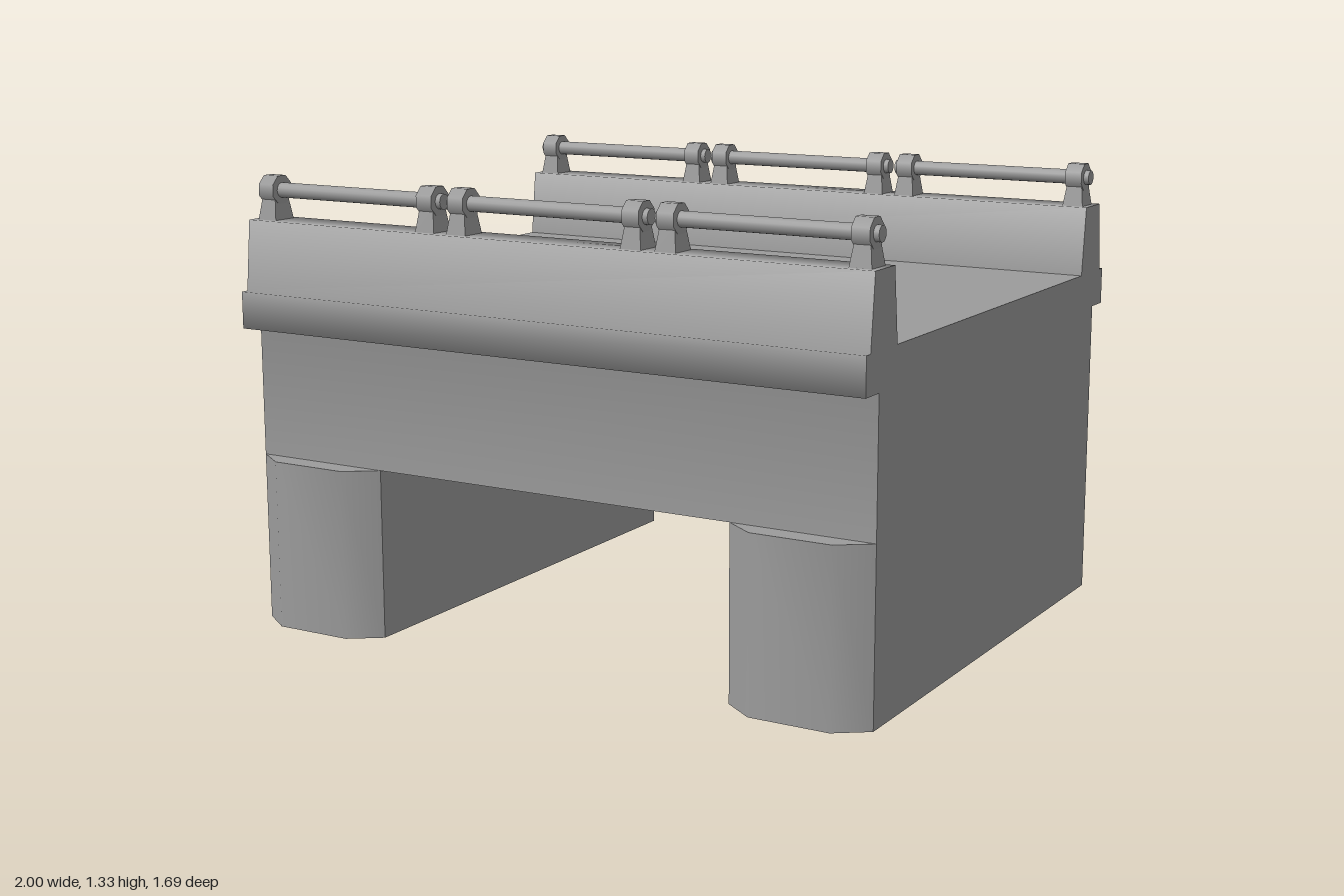
import * as THREE from 'three';
import { toCreasedNormals } from 'three/addons/utils/BufferGeometryUtils.js';

const stone = new THREE.MeshStandardMaterial({ color: 0x9b9b9b });

// Half section from the deck, over the parapet and cornice, down the wall: [z, y]
const section = [
  [0.662, 1], [0.685, 1.205], [0.80, 1.205], [0.82, 1],
  [0.844, 1], [0.844, 0.892], [0.767, 0.892], [0.767, 0.502],
];

function addMesh(parent, name, geometry) {
  const mesh = new THREE.Mesh(geometry, stone);
  mesh.name = name;
  parent.add(mesh);
  return mesh;
}

const toShape = (points) => new THREE.Shape(points.map(([x, y]) => new THREE.Vector2(x, y)));

// Long face of parapet, cornice and wall, with normals flowing around its mouldings
function makeFacing() {
  const last = section.length - 1;
  const geometry = new THREE.PlaneGeometry(2, 1, 1, last);
  const { position, normal } = geometry.attributes;
  section.forEach(([z, y], row) => {
    const [z0, y0] = section[Math.max(row - 1, 0)];
    const [z1, y1] = section[Math.min(row + 1, last)];
    const n = new THREE.Vector3(0, z1 - z0, y0 - y1).normalize();
    for (const i of [row * 2, row * 2 + 1]) {
      position.setXYZ(i, position.getX(i), y, z);
      normal.setXYZ(i, n.x, n.y, n.z);
    }
  });
  return geometry;
}

function addSpan(model) {
  const span = new THREE.Group();
  span.name = 'span';
  model.add(span);

  const facing = makeFacing();
  const outline = [...section, ...section.map(([z, y]) => [-z, y]).reverse()];
  const end = new THREE.ShapeGeometry(toShape(outline));
  for (const turn of [0, Math.PI]) {
    addMesh(span, 'parapetAndWall', facing).rotation.y = turn;
    const endWall = addMesh(span, 'endWall', end);
    endWall.rotation.y = turn + Math.PI / 2;
    endWall.position.x = turn ? -1 : 1;
  }

  const deck = addMesh(span, 'deck', new THREE.PlaneGeometry(2, 1.324));
  deck.rotation.x = -Math.PI / 2;
  deck.position.y = 1;

  const underside = addMesh(span, 'underside', new THREE.PlaneGeometry(2, 1.534));
  underside.rotation.x = Math.PI / 2;
  underside.position.y = 0.502;
}

// Pier with chamfered, softly shaded ends, extruded upwards
function makePier() {
  const end = [[0.213, 0.767], [0.12, 0.833], [-0.12, 0.833], [-0.213, 0.767]];
  const outline = [...end, ...end.map(([x, z]) => [-x, -z])];
  const geometry = new THREE.ExtrudeGeometry(toShape(outline), { depth: 0.502, bevelEnabled: false });
  geometry.rotateX(-Math.PI / 2);
  return toCreasedNormals(geometry, 0.7);
}

// Tapered post: a four-sided frustum stretched in x and z
function makePost() {
  const geometry = new THREE.CylinderGeometry(0.7 * Math.SQRT1_2, Math.SQRT1_2, 0.07, 4);
  geometry.rotateY(Math.PI / 4).scale(0.064, 1, 0.08);
  return toCreasedNormals(geometry, 0.7);
}

// One rail section: a round bar carried by two collared posts
function makeRail(postGeometry, collarGeometry, barGeometry) {
  const rail = new THREE.Group();
  rail.name = 'railSection';
  addMesh(rail, 'railBar', barGeometry).position.y = 1.29;
  for (const x of [-0.281, 0.281]) {
    addMesh(rail, 'railPost', postGeometry).position.set(x, 1.239, 0);
    addMesh(rail, 'railCollar', collarGeometry).position.set(x, 1.291, 0);
  }
  return rail;
}

export function createModel() {
  const model = new THREE.Group();
  model.name = 'bridgeSection';

  addSpan(model);

  const pier = makePier();
  for (const side of [-1, 1]) addMesh(model, 'pier', pier).position.x = side * 0.787;

  const post = makePost();
  const collar = new THREE.CylinderGeometry(0.044, 0.044, 0.052, 8);
  collar.rotateY(Math.PI / 8).rotateZ(Math.PI / 2);
  const bar = new THREE.CylinderGeometry(0.022, 0.022, 0.645, 16).rotateZ(Math.PI / 2);

  // Three rail sections along each parapet
  for (const z of [-0.741, 0.741]) {
    for (const x of [-0.668, 0, 0.668]) {
      const rail = makeRail(post, collar, bar);
      rail.position.set(x, 0, z);
      model.add(rail);
    }
  }
  return model;
}
